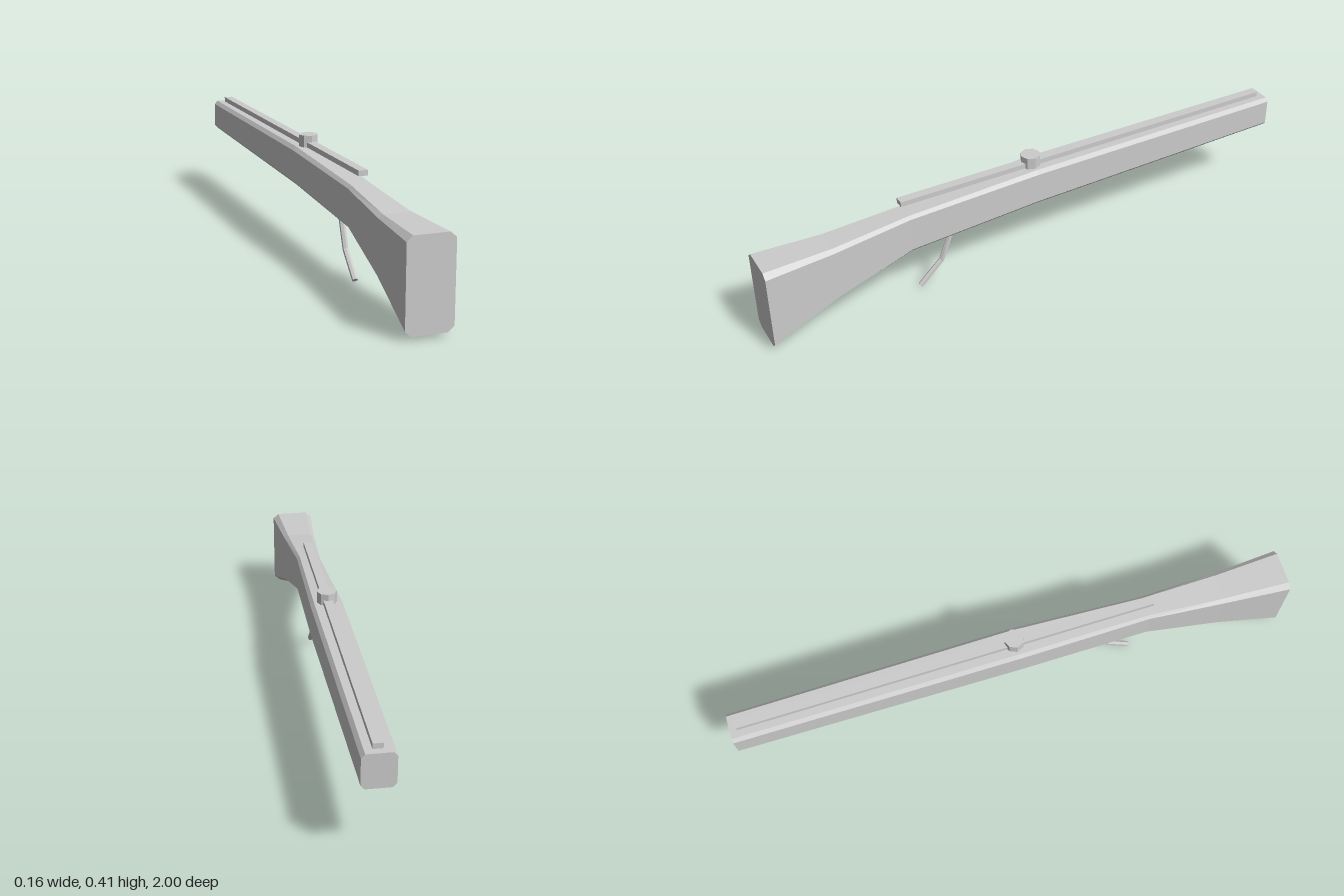
import * as THREE from 'three';

// Skins a list of matching rings (counter-clockwise seen from +z, running towards -z) and caps both ends
function loft(rings) {
  const n = rings[0].length, last = (rings.length - 1) * n, index = [];
  for (let i = 0; i < rings.length - 1; i++) {
    for (let j = 0; j < n; j++) {
      const a = i * n + j, b = i * n + (j + 1) % n, c = b + n, d = a + n;
      index.push(a, d, c, a, c, b);
    }
  }
  for (let j = 1; j < n - 1; j++) {
    index.push(0, j, j + 1, last, last + j + 1, last + j);
  }
  const geometry = new THREE.BufferGeometry();
  geometry.setAttribute('position', new THREE.Float32BufferAttribute(rings.flat(2), 3));
  geometry.setIndex(index);
  const flat = geometry.toNonIndexed();
  flat.computeVertexNormals();
  return flat;
}

// Chamfered rectangle: half width w, bottom b, top t, chamfer cx by cy
function section([z, w, b, t, cx, cy]) {
  const u = w - cx;
  return [
    [w, b + cy, z], [w, t - cy, z], [u, t, z], [-u, t, z],
    [-w, t - cy, z], [-w, b + cy, z], [-u, b, z], [u, b, z],
  ];
}

// Six-sided rod along [y, z] points in the middle plane
function rod(points, r) {
  return loft(points.map(([y, z], i) => {
    const p = points[Math.max(i - 1, 0)], q = points[Math.min(i + 1, points.length - 1)];
    const len = Math.hypot(q[0] - p[0], q[1] - p[1]);
    const ty = (q[0] - p[0]) / len, tz = (q[1] - p[1]) / len;
    return Array.from({ length: 6 }, (_, k) => {
      const angle = Math.PI / 6 + k * Math.PI / 3;
      const s = r * Math.sin(angle);
      return [r * Math.cos(angle), y - tz * s, z + ty * s];
    });
  }));
}

export function createModel() {
  const model = new THREE.Group();
  const grey = new THREE.MeshStandardMaterial({ color: 0xcccccc });
  grey.name = 'light grey';
  grey.flatShading = true;

  const add = (name, geometry, x = 0, y = 0, z = 0) => {
    const mesh = new THREE.Mesh(geometry, grey);
    mesh.name = name;
    mesh.position.set(x, y, z);
    model.add(mesh);
  };

  // Stock, from the butt at +z to the fore end at -z
  add('stock', loft([
    [1, 0.078, 0.015, 0.315, 0.02, 0.018],
    [0.76, 0.06, 0.112, 0.315, 0.014, 0.012],
    [0.48, 0.044, 0.195, 0.339, 0.01, 0.011],
    [0, 0.058, 0.234, 0.37, 0.012, 0.013],
    [-1, 0.053, 0.254, 0.37, 0.012, 0.013],
  ].map(section)));

  // Rail along the top
  add('rail', new THREE.BoxGeometry(0.032, 0.018, 1.475), 0, 0.379, -0.2375);

  // Round catch in the middle of the rail
  add('catch', new THREE.CylinderGeometry(0.035, 0.035, 0.042, 8), 0, 0.39, 0);

  // Bent trigger lever below the stock
  add('trigger', rod([[0.008, 0.44], [0.09, 0.355], [0.215, 0.307]], 0.01));

  return model;
}
